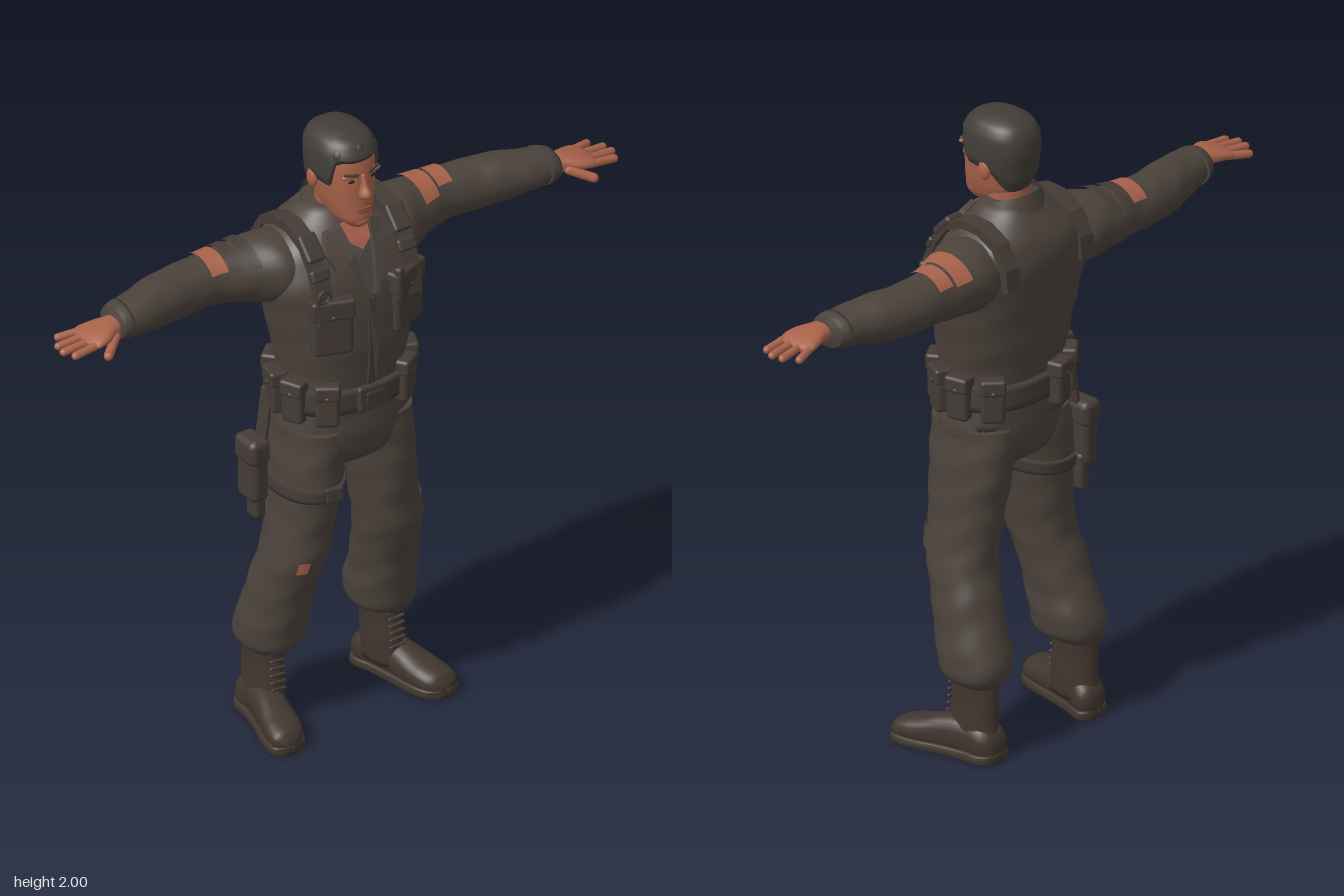
import * as THREE from 'three';
import { RoundedBoxGeometry } from 'three/addons/geometries/RoundedBoxGeometry.js';

const mat = (name, color, side = THREE.FrontSide) => new THREE.MeshStandardMaterial({ name, color, side });
const D = Math.PI / 180;
const sp = (c, n) => Math.sign(c) * Math.abs(c) ** (2 / n);

// Smooth interpolation of cross-section keys [t, c1, c2, r1, r2]
const track = keys => {
  const f = new THREE.CubicInterpolant(keys.map(k => k[0]), keys.flatMap(k => k.slice(1)), 4, new Float32Array(4));
  return t => [...f.evaluate(t)];
};

// Skin a surface over superelliptical sections along one axis; arc gives an open patch
function loft(keys, { axis = 'y', n = 2, seg = 32, steps = 40, from = keys[0][0], to = keys[keys.length - 1][0],
  grow = 0, folds = 0, arc = null, low = null } = {}) {
  const at = track(keys), pos = [], idx = [], [a0, a1] = arc || [0, 360], cols = arc ? seg + 1 : seg;
  const put = (t, u, v) => pos.push(...(axis === 'y' ? [u, t, v] : axis === 'x' ? [t, v, u] : [v, u, t]));
  for (let i = 0; i <= steps; i++) for (let j = 0; j < cols; j++) {
    const a = (a0 + (a1 - a0) * j / seg) * D, v = i / steps, t = THREE.MathUtils.lerp(low ? low(a) : from, to, v);
    const [c1, c2, r1, r2] = at(t), g = low ? grow * Math.min(1, v * 6) : grow;
    const w = 1 + folds * (Math.sin(t * 55 + 2 * Math.sin(a * 2 + 1)) + 0.6 * Math.sin(a * 5 + t * 22));
    put(t, c1 + (Math.max(r1, 0.002) * w + g) * sp(Math.cos(a), n), c2 + (Math.max(r2, 0.002) * w + g) * sp(Math.sin(a), n));
  }
  for (let i = 0; i < steps; i++) for (let j = 0; j < seg; j++) {
    const k = (j + 1) % cols, p = i * cols, q = p + cols;
    idx.push(p + j, q + j, p + k, q + j, q + k, p + k);
  }
  if (!arc) {
    const s = pos.length / 3, e = steps * cols, [b1, b2] = at(from), [e1, e2] = at(to);
    put(from, b1, b2); put(to, e1, e2);
    for (let j = 0; j < seg; j++) {
      const k = (j + 1) % seg;
      if (!low) idx.push(s, j, k);
      idx.push(s + 1, e + k, e + j);
    }
  }
  const geo = new THREE.BufferGeometry();
  geo.setAttribute('position', new THREE.Float32BufferAttribute(pos, 3));
  geo.setIndex(idx); geo.computeVertexNormals();
  return geo;
}

function mirror(geo) {
  const g = geo.clone().scale(-1, 1, 1);
  const id = g.index ? [...g.index.array] : [...Array(g.attributes.position.count).keys()];
  for (let i = 0; i < id.length; i += 3) [id[i], id[i + 1]] = [id[i + 1], id[i]];
  g.setIndex(id);
  return g;
}

// Height of the front surface of a vertical loft
const frontOf = (keys, n) => { const at = track(keys); return (x, y) => {
  const [, cz, rx, rz] = at(y);
  return cz + rz * (1 - Math.min(1, Math.abs(x / rx)) ** n) ** (1 / n);
}; };

const TORSO = [[1.04, 0, .012, .208, .152], [1.2, 0, .015, .195, .155], [1.3, 0, .01, .21, .17], [1.42, 0, 0, .235, .175],
  [1.52, 0, -.012, .255, .175], [1.6, 0, -.03, .24, .16], [1.66, 0, -.035, .19, .135], [1.7, 0, -.035, .13, .105], [1.74, 0, -.03, .085, .08]];
const PELVIS = [[.87, 0, .015, .07, .06], [.92, 0, .015, .17, .125], [1, 0, .015, .212, .152], [1.12, 0, .013, .2, .152]];
const LEG = [[.24, .207, -.08, .06, .085], [.265, .2, -.072, .09, .106], [.32, .195, -.065, .098, .118], [.4, .19, -.042, .094, .112],
  [.5, .18, -.015, .094, .108], [.6, .165, .015, .094, .112], [.7, .15, .017, .092, .118], [.8, .137, .018, .094, .13],
  [.9, .126, .015, .098, .14], [1.04, .108, .015, .1, .142]];
const ARM = [[.13, -.03, 1.56, .11, .09], [.22, -.045, 1.56, .122, .108], [.3, -.065, 1.56, .103, .094], [.4, -.08, 1.562, .081, .082],
  [.5, -.08, 1.56, .08, .078], [.6, -.065, 1.562, .079, .077], [.7, -.043, 1.565, .072, .062], [.77, -.033, 1.567, .062, .048], [.79, -.03, 1.567, .052, .04]];
const PALM = [[.76, -.02, 1.568, .036, .026], [.8, -.015, 1.57, .04, .027], [.85, -.01, 1.567, .06, .022], [.89, -.012, 1.56, .063, .016], [.905, -.012, 1.558, .05, .01]];
const FOOT = [[-.175, .05, .205, .03, .03], [-.16, .055, .207, .048, .048], [-.08, .066, .222, .06, .05], [0, .062, .24, .056, .053],
  [.07, .052, .257, .044, .06], [.12, .046, .268, .037, .058], [.155, .038, .276, .028, .042], [.165, .035, .278, .012, .02]];
const HEAD = [[1.7, 0, .075, .028, .048], [1.72, 0, .06, .05, .076], [1.76, 0, .035, .069, .102], [1.81, 0, .025, .08, .111], [1.86, 0, .02, .086, .114],
  [1.91, 0, .015, .087, .114], [1.95, 0, .012, .078, .102], [1.975, 0, .01, .056, .074], [1.987, 0, .008, .025, .035]];

export function createModel() {
  const M = {
    uniform: mat('uniform cloth', 0x4b423b, THREE.DoubleSide), gear: mat('webbing', 0x443b35), boot: mat('boot leather', 0x41362f),
    skin: mat('skin', 0xa8624a), lip: mat('lips', 0x8a4a39), hair: mat('hair', 0x413c36), tee: mat('undershirt', 0x4f4a46), dark: mat('eye', 0x2a211d),
  };
  const model = new THREE.Group();
  const add = (name, geo, m, parent = model) => { const o = new THREE.Mesh(geo, m); o.name = name; parent.add(o); return o; };
  const both = (name, geo, m) => { add(name + 'Left', geo, m); add(name + 'Right', mirror(geo), m); };
  const box = (w, h, d, r = .01) => new RoundedBoxGeometry(w, h, d, 2, Math.min(r, w / 2.1, h / 2.1, d / 2.1));
  const ball = (x, y, z, a, b, c) => new THREE.SphereGeometry(1, 16, 12).scale(a, b, c).translate(x, y, z);
  const bar = (p, q, r) => {
    const a = new THREE.Vector3(...p), d = new THREE.Vector3(...q).sub(a), len = d.length();
    return new THREE.CapsuleGeometry(r, len, 4, 10).applyQuaternion(new THREE.Quaternion().setFromUnitVectors(
      new THREE.Vector3(0, 1, 0), d.clone().normalize())).translate(...a.addScaledVector(d, .5).toArray());
  };
  const chestZ = frontOf(TORSO, 2.4), faceZ = frontOf(HEAD, 2.2);
  // Flat shape laid on the chest
  const drape = (pts, depth, off = 0) => {
    const g = new THREE.ExtrudeGeometry(new THREE.Shape(pts.map(p => new THREE.Vector2(...p))), { depth, bevelEnabled: false });
    const p = g.attributes.position;
    for (let i = 0; i < p.count; i++) p.setZ(i, p.getZ(i) + off + chestZ(p.getX(i), p.getY(i)));
    g.computeVertexNormals();
    return g;
  };

  // Clothed body
  add('jacket', loft(TORSO, { n: 2.4, seg: 48, folds: .006 }), M.uniform);
  add('trouserSeat', loft(PELVIS, { n: 2.3, seg: 40, steps: 20 }), M.uniform);
  both('trouserLeg', loft(LEG, { n: 2.2, steps: 70, folds: .013 }), M.uniform);
  both('sleeve', loft(ARM, { axis: 'x', steps: 60, folds: .012 }), M.uniform);
  both('cuff', loft(ARM, { axis: 'x', from: .745, to: .785, steps: 4, grow: .004 }), M.uniform);
  add('tornKnee', loft(LEG, { n: 2.2, from: .63, to: .7, grow: .009, arc: [15, 170], steps: 6 }), M.uniform);
  add('kneeSkin', mirror(loft(LEG, { n: 2.2, from: .57, to: .61, grow: .007, arc: [58, 78], steps: 4, seg: 6 })), M.skin);

  // Shoulder patches
  add('shoulderPatchLeft', loft(ARM, { axis: 'x', from: .3, to: .365, grow: .009, arc: [35, 150], steps: 5 }), M.skin);
  add('lowerPatchLeft', loft(ARM, { axis: 'x', from: .375, to: .43, grow: .008, arc: [50, 145], steps: 5 }), M.skin);
  add('shoulderPatchRight', mirror(loft(ARM, { axis: 'x', from: .385, to: .44, grow: .008, arc: [35, 145], steps: 5 })), M.skin);
  for (const x of [.29, .34]) add('sleeveTabRight', mirror(loft(ARM, { axis: 'x', from: x, to: x + .038, grow: .009, arc: [30, 150], steps: 4 })), M.gear);

  // Collar, open neck and front closure
  const collar = loft([[1.6, 0, -.02, .14, .135], [1.67, 0, -.022, .115, .108], [1.735, 0, -.028, .088, .084]], { arc: [115, 425], steps: 10 });
  const cp = collar.attributes.position;
  for (let i = 0; i < cp.count; i++) cp.setY(i, cp.getY(i) - cp.getZ(i) * .33);
  collar.computeVertexNormals();
  add('collar', collar, M.uniform);
  both('lapel', drape([[.05, 1.7], [.1, 1.685], [.125, 1.64], [.1, 1.585], [.055, 1.61], [.02, 1.5], [.01, 1.5], [.035, 1.63]], .022, .003), M.uniform);
  add('undershirt', drape([[-.052, 1.67], [.052, 1.67], [.035, 1.58], [.005, 1.48], [-.005, 1.48], [-.035, 1.58]], .006, .003), M.tee);
  add('throat', drape([[-.045, 1.7], [.045, 1.7], [.035, 1.65], [0, 1.625], [-.035, 1.65]], .005, .008), M.skin);
  const ys = [1.18, 1.24, 1.3, 1.36, 1.42, 1.49];
  add('frontPlacket', drape([...ys.map(y => [.014, y]), ...ys.slice().reverse().map(y => [-.014, y])], .008), M.gear);

  // Harness straps over the shoulders
  const path = [[.172, 1.44], [.158, 1.53], [.125, 1.61], [.075, 1.675], [0, 1.708], [-.07, 1.705], [-.14, 1.67], [-.182, 1.6], [-.19, 1.53]];
  const inner = path.map(([z, y]) => [-.02 + (z + .02) * .87, 1.5 + (y - 1.5) * .87]).reverse();
  both('harnessStrap', new THREE.ExtrudeGeometry(new THREE.Shape([...path, ...inner].map(([z, y]) => new THREE.Vector2(-z, y))),
    { depth: .055, bevelEnabled: false }).rotateY(Math.PI / 2).translate(.128, 0, 0), M.gear);
  both('strapBuckle', box(.066, .04, .02).rotateX(-.45).translate(.155, 1.59, .132), M.gear);
  both('shoulderPad', box(.062, .09, .024).rotateX(-.75).translate(.155, 1.66, .085), M.gear);
  add('strapRing', new THREE.TorusGeometry(.02, .005, 8, 16).translate(-.165, 1.535, .168), M.gear);

  // A pouch with a flap, stud and raised edge
  const pouch = (name, x, y, z, w, h, d, yaw) => {
    const g = new THREE.Group();
    g.name = name; g.position.set(x, y, z); g.rotation.y = yaw;
    add('pouchBody', box(w, h, d, .014), M.gear, g);
    add('pouchFlap', box(w * 1.07, h * .36, d * 1.12, .01).translate(0, h * .34, .003), M.gear, g);
    add('pouchStud', ball(0, h * .22, d * .58, .009, .009, .006), M.boot, g);
    model.add(g);
  };
  pouch('chestPocketLeft', .138, 1.43, .14, .135, .2, .055, .38);
  pouch('chestPocketRight', -.124, 1.415, .146, .125, .185, .055, -.34);
  add('chestTool', box(.03, .11, .025).rotateY(.4).translate(.095, 1.5, .182), M.gear);

  // Belt with buckle and pouches
  add('belt', loft(TORSO, { n: 2.4, from: 1.105, to: 1.185, grow: .012, steps: 4, seg: 48 }), M.gear);
  add('buckle', box(.11, .085, .02).translate(0, 1.147, .182), M.gear);
  add('buckleFrame', box(.06, .045, .012).translate(0, 1.147, .191), M.boot);
  for (const a of [50, 19, -10, -42, 130, 161, 190, 222, 250]) {
    const c = Math.cos(a * D), s = Math.sin(a * D);
    pouch('beltPouch', .212 * c, 1.145, .172 * s + .012, .072, .14, .05, Math.atan2(c / .205, s / .16));
  }

  // Thigh holster on the right leg
  add('thighStrap', mirror(loft(LEG, { n: 2.2, from: .815, to: .86, grow: .008, steps: 4 })), M.gear);
  add('thighClip', box(.06, .055, .025).rotateY(-.15).translate(-.12, .835, .152), M.gear);
  add('holster', box(.062, .17, .095, .022).translate(-.268, .86, -.05), M.gear);
  add('holsterFlap', box(.072, .085, .105, .022).translate(-.27, .945, -.05), M.gear);
  add('holsterTip', box(.04, .12, .055, .014).translate(-.25, .76, -.06), M.gear);
  add('holsterHanger', box(.014, .2, .05, .005).rotateZ(-.13).translate(-.236, 1.04, -.04), M.gear);

  // Boots
  both('bootShaft', loft([[.05, .215, -.08, .055, .088], [.13, .211, -.08, .052, .084], [.2, .21, -.084, .052, .08], [.28, .208, -.085, .056, .082]], { steps: 14, folds: .01 }), M.boot);
  both('bootFoot', loft(FOOT, { axis: 'z', n: 2.4, seg: 24, steps: 30 }), M.boot);
  both('bootSole', loft(FOOT.map(([z, , x, , r]) => [z, .016, x, .016, r + .006]), { axis: 'z', n: 5, seg: 24, steps: 24 }), M.boot);
  for (let i = 0; i < 6; i++) both('bootLace', bar([.19, .12 + i * .023, .003 - i * .002], [.236, .125 + i * .023, .005 - i * .002], .005), M.gear);

  // Hands
  both('palm', loft(PALM, { axis: 'x', n: 2.3, seg: 20, steps: 16 }), M.skin);
  [[-.058, .945, -.078], [-.027, .973, -.036], [.005, .979, 0], [.036, .963, .037]].forEach(([z, x, z2], i) => {
    both('finger' + (i + 1), bar([.875, 1.56, z], [x, 1.55, z2], .0125), M.skin);
  });
  both('thumb', bar([.81, 1.558, .025], [.868, 1.533, .07], .0145), M.skin);

  // Head and face
  add('neck', loft([[1.6, 0, -.02, .075, .075], [1.68, 0, -.012, .064, .068], [1.8, 0, 0, .062, .075]], { steps: 10 }), M.skin);
  add('head', loft(HEAD, { n: 2.2, seg: 40 }), M.skin);
  add('nose', loft([[1.803, 0, .134, .012, .008], [1.815, 0, .139, .019, .026], [1.85, 0, .131, .011, .019], [1.885, 0, .124, .009, .011]], { seg: 16, steps: 12 }), M.skin);
  both('ear', ball(.089, 1.84, -.002, .014, .033, .022), M.skin);
  both('browRidge', ball(.037, 1.884, faceZ(.037, 1.884) - .004, .032, .009, .012), M.skin);
  both('eyebrow', box(.046, .009, .009, .003).rotateZ(.16).rotateY(.3).translate(.039, 1.889, faceZ(.039, 1.889) + .005), M.hair);
  both('eye', ball(.036, 1.866, faceZ(.036, 1.866), .015, .005, .004), M.dark);
  add('mouth', box(.05, .008, .008, .003).translate(0, 1.768, faceZ(0, 1.768) + .001), M.lip);
  add('lowerLip', ball(0, 1.759, faceZ(0, 1.759), .02, .006, .005), M.lip);
  add('chin', ball(0, 1.722, .118, .028, .019, .022), M.skin);

  // Short hair with a raised front and sideburns
  const S = THREE.MathUtils.smoothstep;
  const hairline = a => { const f = Math.sin(a); return 1.77 + .07 * S(f, -.9, -.1) + .085 * S(f, .4, .7); };
  add('hair', loft(HEAD.map(([y, ...k]) => [y > 1.9 ? y + (y - 1.9) * .15 : y, ...k]), { n: 2.3, seg: 64, steps: 30, grow: .011, low: hairline, folds: .006 }), M.hair);
  for (let i = -2; i <= 2; i++) add('foreLock', ball(i * .028, 1.952 - Math.abs(i) * .006, .103 - Math.abs(i) * .009, .022, .027, .022), M.hair);
  return model;
}
